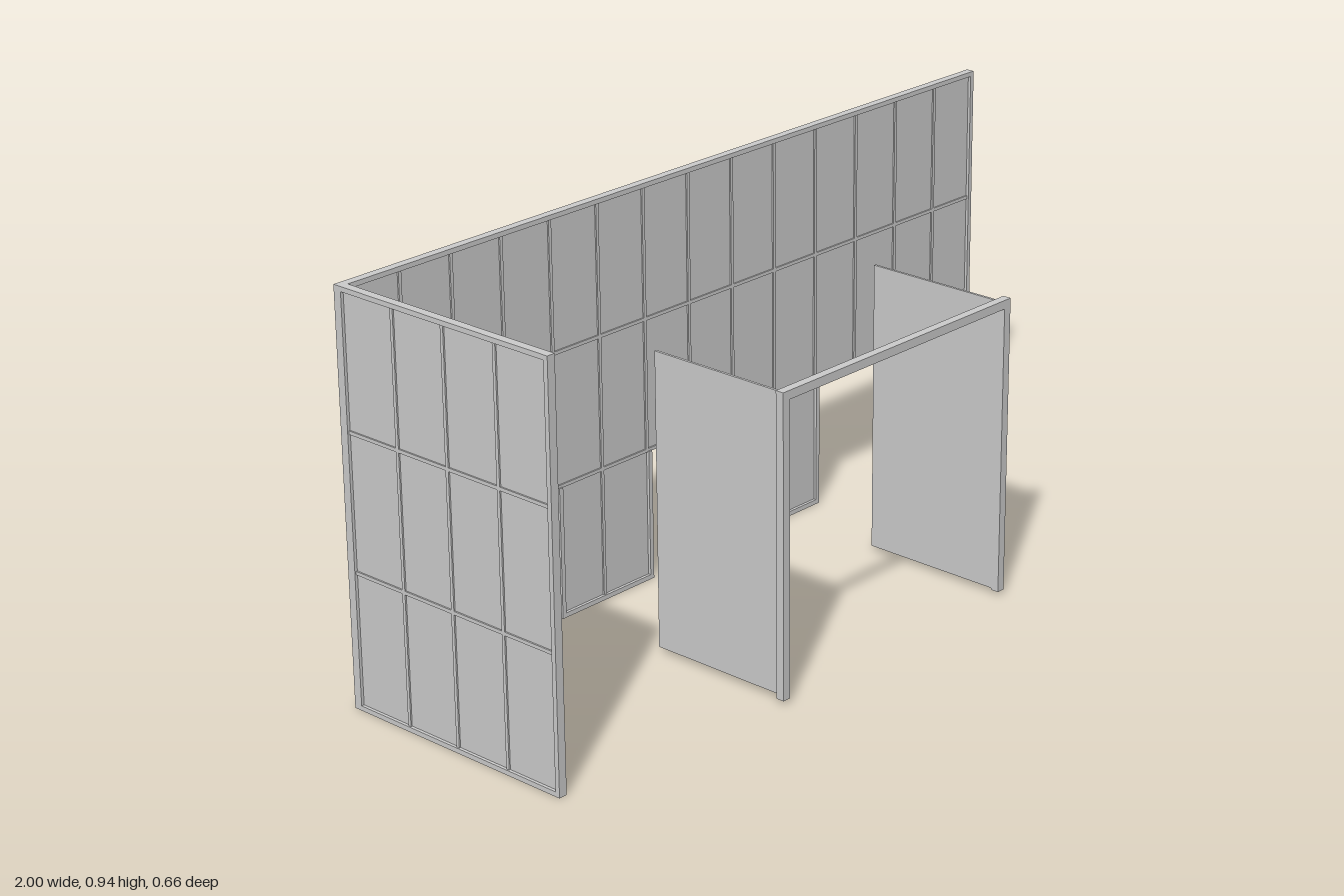
import * as THREE from 'three';

const H = 0.935, BAR = 0.011, DEPTH = 0.02, RIB = 0.013, PANE = 0.006;

export function createModel() {
  const root = new THREE.Group();
  const material = new THREE.MeshStandardMaterial({ color: 0xcccccc, side: THREE.DoubleSide });

  // Box given by its lower and upper limits
  const box = (parent, name, x0, x1, y0, y1, z0, z1) => {
    const mesh = new THREE.Mesh(new THREE.BoxGeometry(x1 - x0, y1 - y0, z1 - z0), material);
    mesh.position.set((x0 + x1) / 2, (y0 + y1) / 2, (z0 + z1) / 2);
    mesh.name = name;
    parent.add(mesh);
  };
  const group = (name) => {
    const g = new THREE.Group();
    g.name = name;
    root.add(g);
    return g;
  };
  const rows = [0.312, 0.622];

  // Long back wall standing on four legs, with three doorways between them
  const back = group('backWall');
  const zc = -0.32, doorTop = 0.31;
  const legs = [[-1, -0.69], [-0.41, -0.12], [0.155, 0.445], [0.72, 1]];
  const pane = (x0, x1, y0, y1) =>
    box(back, 'backPane', x0, x1, y0, y1, zc - PANE / 2, zc + PANE / 2);
  const frame = (x0, x1, y0, y1) =>
    box(back, 'backFrame', x0, x1, y0, y1, zc - DEPTH / 2, zc + DEPTH / 2);
  const rib = (x0, x1, y0, y1) =>
    box(back, 'backMullion', x0, x1, y0, y1, zc - RIB / 2, zc + RIB / 2);

  pane(-1 + BAR, 1 - BAR, doorTop, H - BAR);
  frame(-1, 1, H - BAR, H);
  frame(-1, -1 + BAR, doorTop, H - BAR);
  frame(1 - BAR, 1, doorTop, H - BAR);
  for (const [x0, x1] of legs) {
    pane(x0 + BAR, x1 - BAR, BAR, doorTop);
    frame(x0, x1, 0, BAR);
    frame(x0, x0 + BAR, BAR, doorTop);
    frame(x1 - BAR, x1, BAR, doorTop);
  }
  for (const y of rows) rib(-1 + BAR, 1 - BAR, y - 0.004, y + 0.004);
  for (let k = 1; k < 14; k++) {
    const x = -0.98 + k * 1.98 / 14;
    const onLeg = legs.some(([a, b]) => x > a + 0.03 && x < b - 0.03);
    rib(x - 0.004, x + 0.004, onLeg ? BAR : doorTop, H - BAR);
  }

  // Short side wall joining the back wall at a right angle
  const side = group('sideWall');
  const xc = -0.99, z0 = -0.31, z1 = 0.268;
  const across = (name, t, y0, y1, a, b) => box(side, name, xc - t / 2, xc + t / 2, y0, y1, a, b);
  across('sidePane', PANE, BAR, H - BAR, z0, z1 - BAR);
  across('sideFrame', DEPTH, 0, BAR, z0, z1);
  across('sideFrame', DEPTH, H - BAR, H, z0, z1);
  across('sideFrame', DEPTH, BAR, H - BAR, z1 - BAR, z1);
  for (const z of [0.119, -0.025, -0.168])
    across('sideMullion', RIB, BAR, H - BAR, z - 0.004, z + 0.004);
  for (const y of rows) across('sideMullion', RIB, y - 0.004, y + 0.004, z0, z1 - BAR);

  // Free-standing portal with two thin side screens
  const booth = group('portal');
  const outer = new THREE.Shape();
  outer.moveTo(-0.405, 0.01);
  for (const [x, y] of [[-0.385, 0.01], [-0.385, 0.68], [0.313, 0.68], [0.313, 0.01],
    [0.333, 0.01], [0.333, 0.70], [-0.405, 0.70]]) outer.lineTo(x, y);
  outer.closePath();
  const portal = new THREE.Mesh(
    new THREE.ExtrudeGeometry(outer, { depth: 0.02, bevelEnabled: false }), material);
  portal.name = 'portalFrame';
  portal.position.z = 0.311;
  booth.add(portal);
  for (const x of [-0.388, 0.318])
    box(booth, 'sideScreen', x - 0.003, x + 0.003, 0.013, 0.693, -0.038, 0.313);

  return root;
}
